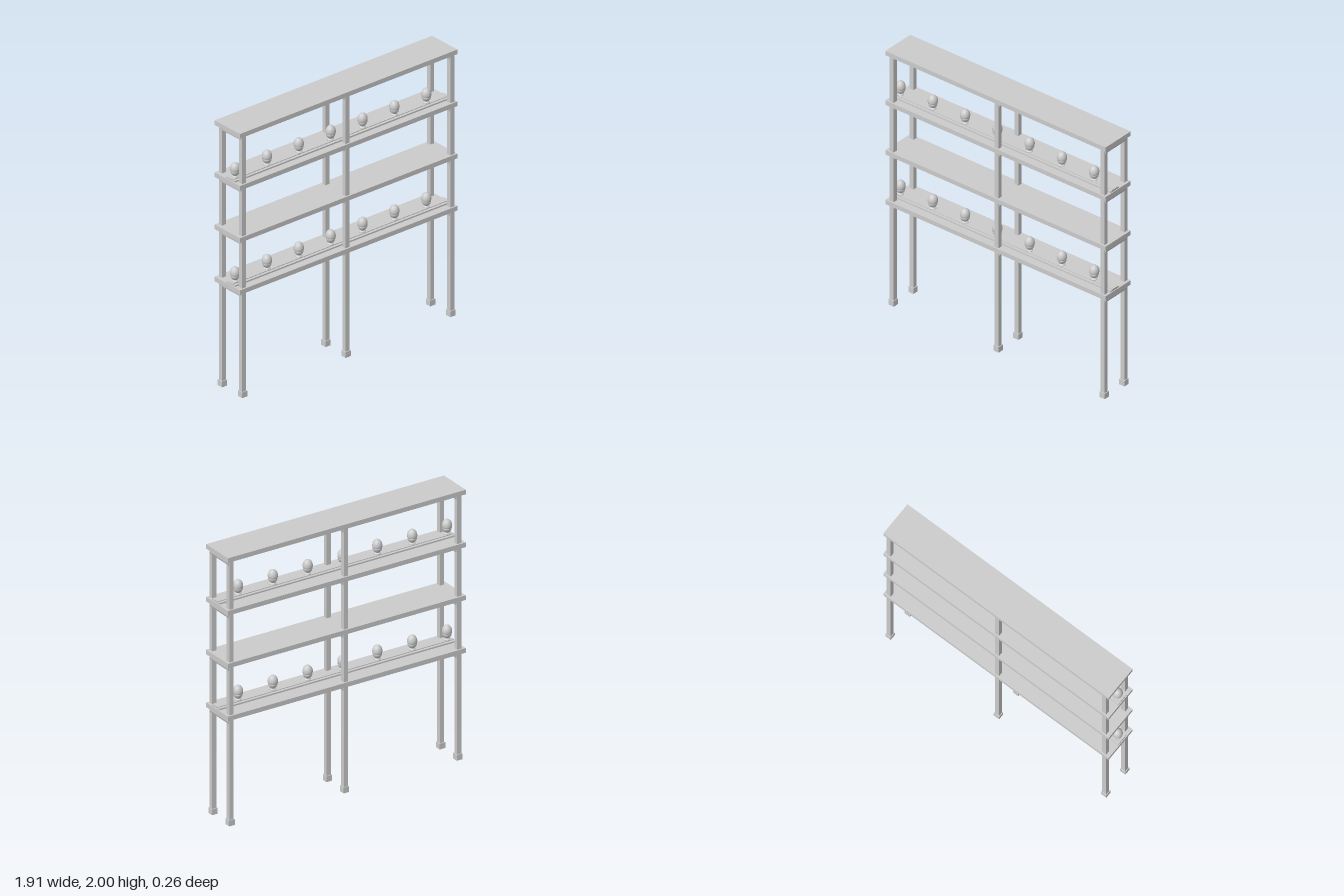
import * as THREE from 'three';

const material = new THREE.MeshStandardMaterial({ color: 0xcccccc });

function addMesh(parent, name, geometry, x, y, z) {
  const mesh = new THREE.Mesh(geometry, material);
  mesh.name = name;
  mesh.position.set(x, y, z);
  parent.add(mesh);
  return mesh;
}

// Box placed by its bottom height
function addBox(parent, name, w, h, d, x, bottom, z) {
  return addMesh(parent, name, new THREE.BoxGeometry(w, h, d), x, bottom + h / 2, z);
}

// Bar running front to back, narrower along its lower edge
function crossbarGeometry(depth) {
  const s = new THREE.Shape();
  s.moveTo(-0.018, -0.032);
  s.lineTo(0.018, -0.032);
  s.lineTo(0.023, -0.018);
  s.lineTo(0.023, 0);
  s.lineTo(-0.023, 0);
  s.lineTo(-0.018, -0.032);
  return new THREE.ExtrudeGeometry(s, { depth, bevelEnabled: false }).translate(0, 0, -depth / 2);
}

// Turned stand: foot, neck and cup
function cupGeometry() {
  const points = [
    [0, 0], [0.024, 0], [0.024, 0.005], [0.013, 0.01], [0.013, 0.014],
    [0.021, 0.019], [0.028, 0.028], [0.032, 0.04], [0.032, 0.048], [0.027, 0.049], [0, 0.049],
  ].map(([r, y]) => new THREE.Vector2(r, y));
  return new THREE.LatheGeometry(points, 24);
}

// Egg: an ellipsoid whose upper half is taller
function eggGeometry() {
  const points = [];
  for (let i = 0; i <= 16; i++) {
    const a = -Math.PI / 2 + (Math.PI * i) / 16;
    points.push(new THREE.Vector2(0.035 * Math.cos(a), Math.sin(a) * (a > 0 ? 0.046 : 0.036)));
  }
  return new THREE.LatheGeometry(points, 24);
}

export function createModel() {
  const model = new THREE.Group();
  model.name = 'shelvingUnit';

  const postX = [-0.91, 0, 0.92];
  const postZ = 0.104;
  const shelfTops = [0.822, 1.215, 1.608, 2.0];
  const thickness = 0.034;

  // Posts with square feet
  for (const x of postX) {
    for (const z of [-postZ, postZ]) {
      addBox(model, 'post', 0.034, 1.97, 0.033, x, 0, z);
      addBox(model, 'foot', 0.045, 0.043, 0.045, x, 0, z);
    }
  }

  // Shelves carried on crossbars
  const bar = crossbarGeometry(postZ * 2 + 0.02);
  for (const top of shelfTops) {
    addBox(model, 'shelf', 1.912, thickness, 0.264, 0, top - thickness, 0);
    for (const x of postX) addMesh(model, 'crossbar', bar, x, top - thickness, 0);
  }

  // Display rails with a row of eggs in cups on the first and third shelves
  const cup = cupGeometry();
  const egg = eggGeometry();
  const rowZ = 0.027;
  for (const top of [shelfTops[0], shelfTops[2]]) {
    addBox(model, 'displayRail', 1.9, 0.011, 0.09, 0, top, rowZ);
    addBox(model, 'displayRailStep', 1.9, 0.016, 0.05, 0, top, rowZ);
    for (let i = 0; i < 7; i++) {
      const x = -0.91 + i * 0.28;
      addMesh(model, 'eggCup', cup, x, top + 0.015, rowZ);
      addMesh(model, 'egg', egg, x, top + 0.077, rowZ);
    }
  }
  return model;
}
